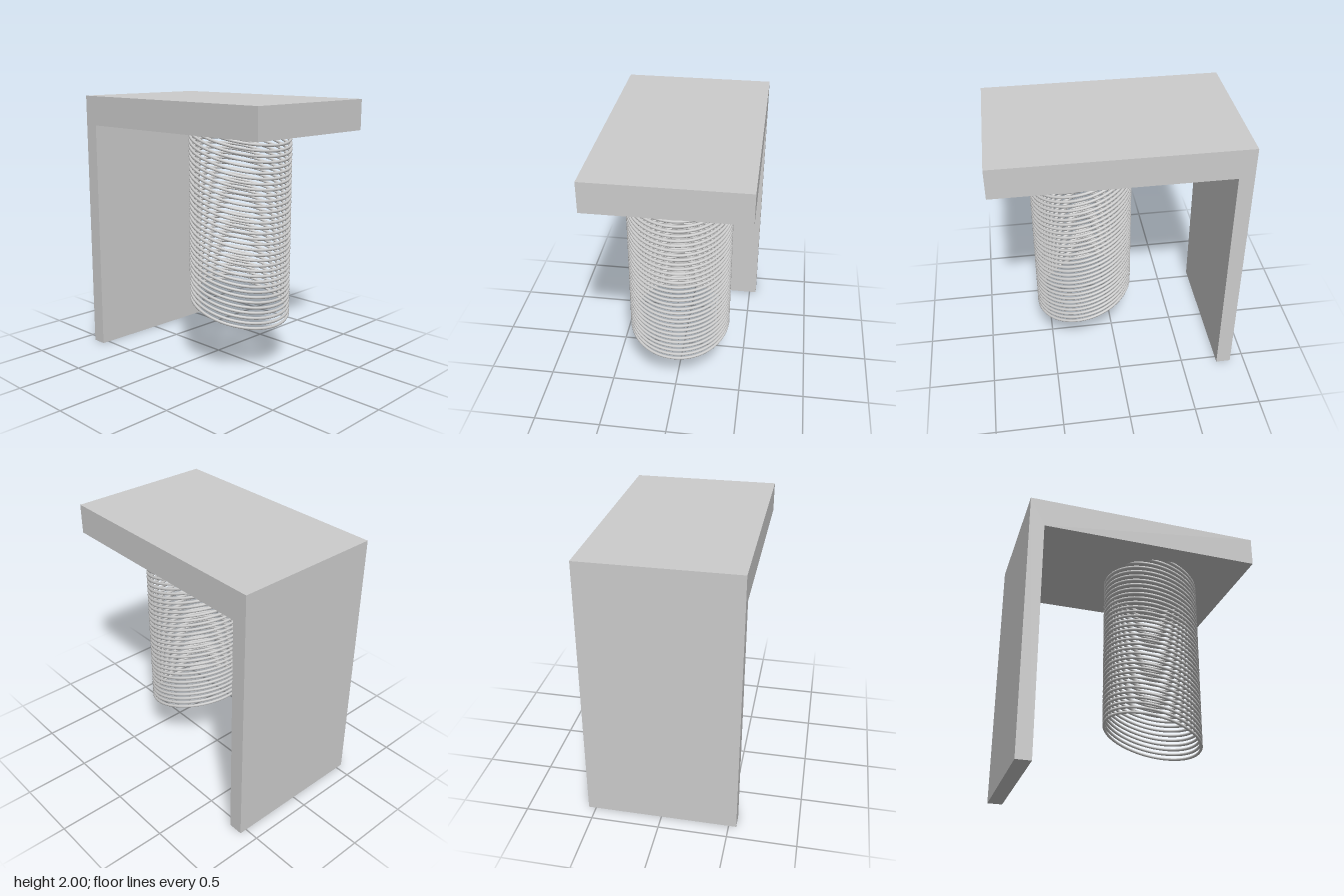
import * as THREE from 'three';

export function createModel() {
  const U = 1 / 9; // design unit
  const model = new THREE.Group();
  const grey = new THREE.MeshStandardMaterial({ color: 0xcccccc });

  // L-shaped bracket: thick top slab joined to a thin back wall
  const profile = new THREE.Shape([
    [-8, 0], [-7, 0], [-7, 16], [8, 16], [8, 18], [-8, 18],
  ].map(([z, y]) => new THREE.Vector2(z * U, y * U)));
  const bracket = new THREE.Mesh(
    new THREE.ExtrudeGeometry(profile, { depth: 10 * U, bevelEnabled: false }), grey);
  bracket.name = 'bracket';
  bracket.rotation.y = -Math.PI / 2;
  bracket.position.x = 5 * U;
  model.add(bracket);

  // Stack of thin tilted rings hanging below the slab, lower at the front
  const coil = new THREE.Group();
  coil.name = 'ringStack';
  const count = 35, tube = 0.011, outer = 0.387;
  const bottom = 0.457, top = 1.79;
  const ringGeometry = new THREE.TorusGeometry(outer - tube, tube, 8, 64);
  for (let i = 0; i < count; i++) {
    const ring = new THREE.Mesh(ringGeometry, grey);
    ring.name = `ring${i + 1}`;
    ring.rotation.x = Math.PI / 2 + THREE.MathUtils.degToRad(15);
    ring.position.set(0, THREE.MathUtils.lerp(bottom, top, i / (count - 1)), 0.227);
    coil.add(ring);
  }
  model.add(coil);

  return model;
}
